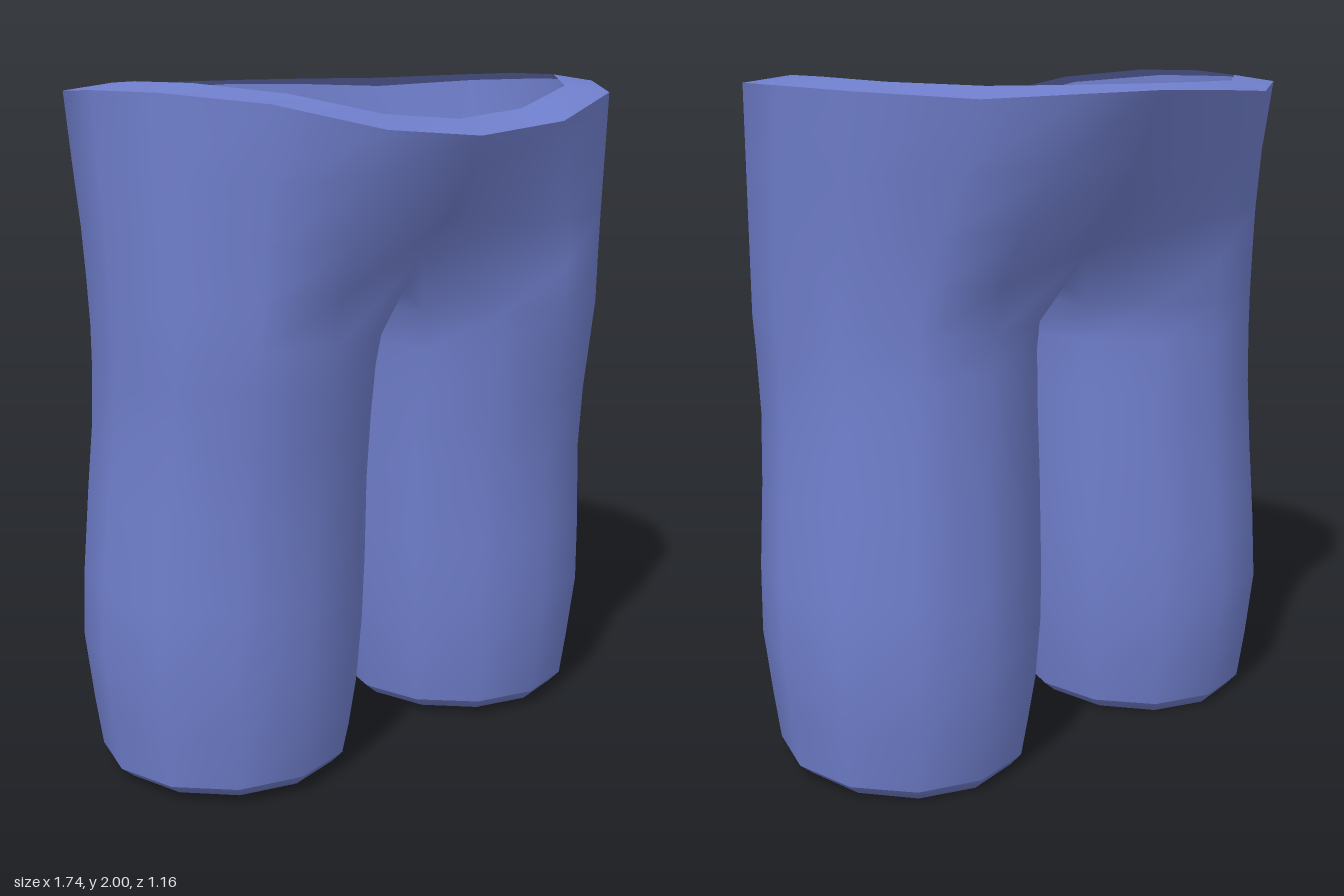
import * as THREE from 'three';
import { mergeVertices } from 'three/addons/utils/BufferGeometryUtils.js';

const N = 12;  // points around one leg
const ARC = 8; // points 0..ARC run on to the waist, the others end in the crotch seam
const lerp = THREE.MathUtils.lerp;
const vec = (p) => new THREE.Vector3(...p);

// leg sections: y, inner x, outer x, front z, back z, tilt
const LEG = [
  [0.05, 0.09, 0.83, 0.38, -0.385, 0.03],
  [0.2, 0.065, 0.85, 0.4, -0.41],
  [0.4, 0.05, 0.872, 0.422, -0.43],
  [0.6, 0.043, 0.867, 0.425, -0.42],
  [0.85, 0.042, 0.847, 0.428, -0.408],
  [1.05, 0.045, 0.828, 0.455, -0.406],
  [1.22, 0.042, 0.825, 0.482, -0.406],
  [1.33, 0.026, 0.827, 0.5, -0.41],
];
const HEM_EDGE = [0.015, 0.13, 0.79, 0.35, -0.355, 0.035];
const ANKLE_HOLE = [0.02, 0.22, 0.69, 0.25, -0.25, 0.035];

// hip rows: y, blend from leg to waist, then y and z at centre front and centre back
const HIP = [
  [1.46, 0.12, 1.51, 0.34, 1.5, -0.29],
  [1.6, 0.3, 1.62, 0.44, 1.61, -0.39],
  [1.76, 0.62, 1.74, 0.525, 1.76, -0.49],
];
// half of the waist, from centre front to centre back
const WAIST = [
  [0, 1.86, 0.58], [0.32, 1.887, 0.572], [0.61, 1.955, 0.475],
  [0.79, 1.98, 0.24], [0.835, 1.98, -0.02], [0.775, 1.97, -0.28],
  [0.52, 1.95, -0.48], [0.25, 1.96, -0.568], [0, 1.965, -0.585],
].map(vec);
const WAIST_INNER = [
  [0, 1.9, 0.49], [0.25, 1.92, 0.475], [0.5, 1.975, 0.4],
  [0.66, 2, 0.2], [0.7, 2, -0.02], [0.64, 1.99, -0.24],
  [0.45, 1.98, -0.41], [0.23, 1.98, -0.475], [0, 1.98, -0.5],
].map(vec);

// one closed ring of a leg
function legRing([y, inX, outX, front, back, tilt = 0]) {
  return Array.from({ length: N }, (_, k) => {
    const a = Math.PI * (1 / 3 + (2 * k) / N);
    const x = (inX + outX) / 2 - ((outX - inX) / 2) * Math.cos(a);
    const z = (front + back) / 2 + ((front - back) / 2) * Math.sin(a);
    return vec([x, y + tilt * z, z]);
  });
}

// one row of the hips, open at the centre plane
function hipRow([y, t, frontY, frontZ, backY, backZ], top) {
  const row = WAIST.map((w, k) => vec([lerp(top[k].x, w.x, t), y, lerp(top[k].z, w.z, t)]));
  row[0].set(0, frontY, frontZ);
  row[ARC].set(0, backY, backZ);
  return row;
}

// rows of the cloth for the left half, from hem to waist
function clothRows() {
  const legs = LEG.map(legRing);
  const top = legs[legs.length - 1];
  const hips = HIP.map((h) => hipRow(h, top));
  // crotch seam closes the first hip row between the legs
  for (let k = ARC + 1; k < N; k++) {
    const z = top[k].z * 0.8;
    hips[0].push(vec([0, 1.4 + 0.9 * (z - 0.03) ** 2, z]));
  }
  return [...legs, ...hips, WAIST];
}

// skins rows of points, mirrored to both sides, with smooth normals
function skin(rows) {
  const pos = [];
  for (const side of [1, -1]) {
    for (let j = 0; j + 1 < rows.length; j++) {
      const lo = rows[j], hi = rows[j + 1];
      const closed = lo.length === N && hi.length === N;
      for (let k = 0; k < (closed ? N : ARC); k++) {
        const n = (k + 1) % N;
        const quad = [lo[k], lo[n], hi[n], hi[k]];
        if (side < 0) quad.reverse();
        for (const i of [0, 1, 2, 0, 2, 3]) pos.push(quad[i].x * side, quad[i].y, quad[i].z);
      }
    }
  }
  const raw = new THREE.BufferGeometry();
  raw.setAttribute('position', new THREE.Float32BufferAttribute(pos, 3));
  const geo = mergeVertices(raw, 1e-4);
  geo.computeVertexNormals();
  return geo;
}

export function createModel() {
  const group = new THREE.Group();
  const blue = new THREE.MeshStandardMaterial({ color: 0x6f7ecb, side: THREE.DoubleSide });
  blue.name = 'blueCloth';
  const add = (name, rows) => {
    const mesh = new THREE.Mesh(skin(rows), blue);
    mesh.name = name;
    group.add(mesh);
  };

  const cloth = clothRows();
  add('trouserCloth', cloth);
  // lips turned in at the ankles and at the waist
  add('ankleHems', [legRing(ANKLE_HOLE), legRing(HEM_EDGE), cloth[0]]);
  add('waistRim', [WAIST, WAIST_INNER]);
  return group;
}
